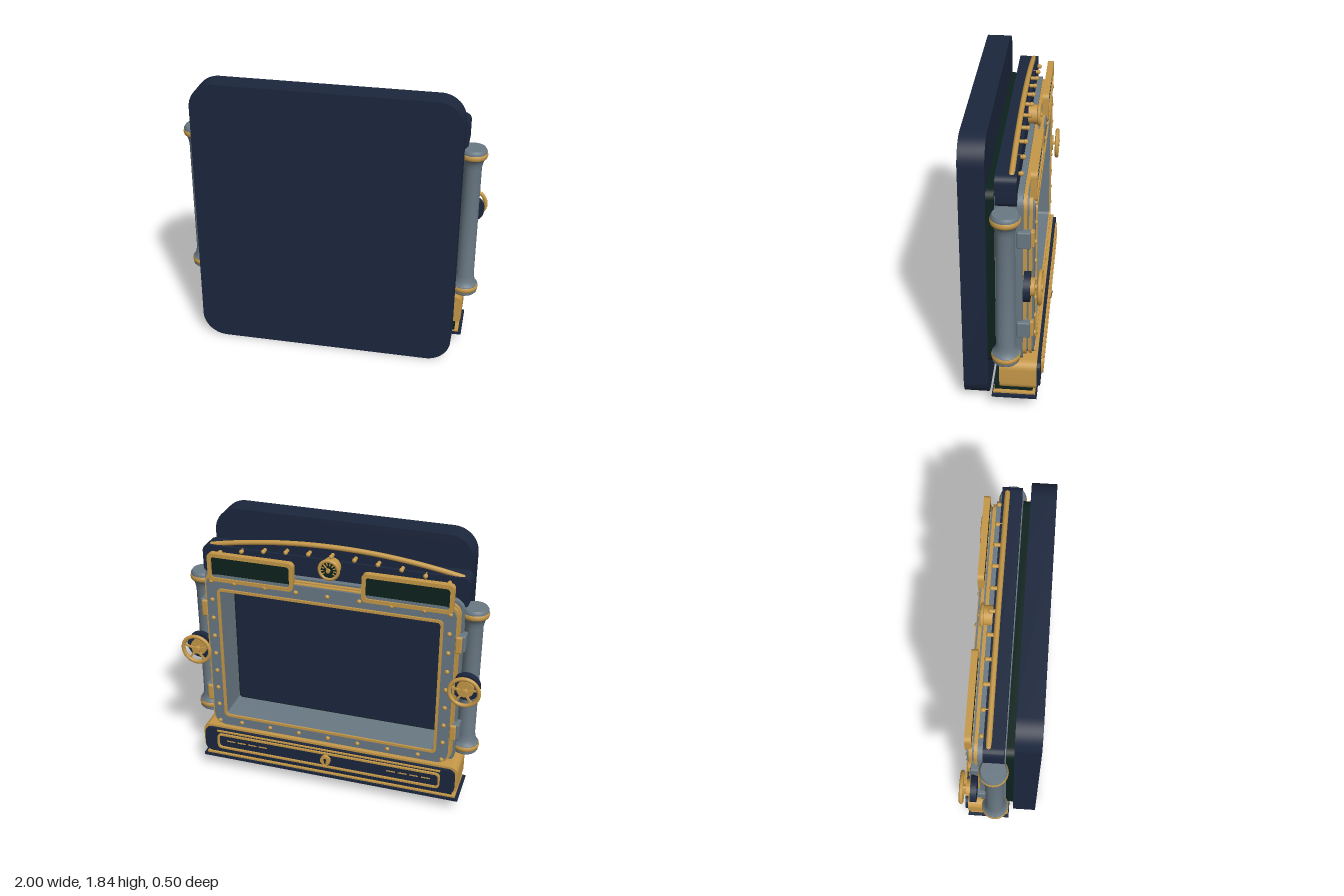
import * as THREE from 'three';
import { toCreasedNormals } from 'three/addons/utils/BufferGeometryUtils.js';
import { RoundedBoxGeometry } from 'three/addons/geometries/RoundedBoxGeometry.js';

const material = (name, color) => {
  const m = new THREE.MeshStandardMaterial({ color });
  m.name = name;
  return m;
};

// Rounded rectangle centred on x = cx
function roundedRect(Type, cx, w, y0, y1, r) {
  const s = new Type(), a = cx - w / 2, b = cx + w / 2;
  s.moveTo(a + r, y0);
  s.lineTo(b - r, y0);
  s.absarc(b - r, y0 + r, r, -Math.PI / 2, 0);
  s.lineTo(b, y1 - r);
  s.absarc(b - r, y1 - r, r, 0, Math.PI / 2);
  s.lineTo(a + r, y1);
  s.absarc(a + r, y1 - r, r, Math.PI / 2, Math.PI);
  s.lineTo(a, y0 + r);
  s.absarc(a + r, y0 + r, r, Math.PI, Math.PI * 1.5);
  return s;
}

export function createModel() {
  const root = new THREE.Group();
  const navy = material('navy', 0x1c273d);
  const gold = material('brass', 0xc59848);
  const gray = material('steel', 0x6a7984);
  const green = material('darkGreen', 0x0d221d);

  const add = (name, geo, mat, x = 0, y = 0, z = 0, parent = root) => {
    const m = new THREE.Mesh(geo, mat);
    m.name = name;
    m.position.set(x, y, z);
    parent.add(m);
    return m;
  };
  const extrude = (shape, depth) => toCreasedNormals(
    new THREE.ExtrudeGeometry(shape, { depth, bevelEnabled: false, curveSegments: 10 }), 0.6);

  // Plate between two depths; hole = [width, y0, y1, radius]
  const plate = (name, mat, w, y0, y1, r, z0, z1, hole, cx = 0) => {
    const s = roundedRect(THREE.Shape, cx, w, y0, y1, r);
    if (hole) s.holes.push(roundedRect(THREE.Path, cx, ...hole));
    return add(name, extrude(s, z1 - z0), mat, 0, 0, z0);
  };
  const box = (name, mat, w, h, d, x, y, z, parent) =>
    add(name, new THREE.BoxGeometry(w, h, d), mat, x, y, z, parent);
  const disc = (name, mat, r, z0, z1, x, y, parent) =>
    add(name, new THREE.CylinderGeometry(r, r, z1 - z0, 32).rotateX(Math.PI / 2), mat, x, y, (z0 + z1) / 2, parent);
  const rivetGeo = new THREE.SphereGeometry(0.015, 10, 8);
  const rivet = (x, y, z) => add('rivet', rivetGeo, gold, x, y, z);

  // Large slab, green gasket and the pane seen through the window
  plate('slab', navy, 1.69, 0, 1.84, 0.16, 0.1, 0.254);
  plate('gasket', green, 1.68, 0.307, 1.54, 0.06, 0.052, 0.1);
  plate('windowPane', navy, 1.425, 0.457, 1.383, 0.02, 0.046, 0.054);

  // Layered window frame with a steel liner
  const hole = [1.44, 0.45, 1.39, 0.02];
  const wide = [1.48, 0.43, 1.41, 0.03];
  plate('windowLiner', gray, 1.49, 0.425, 1.415, 0.03, -0.179, 0.05, hole);
  plate('frameBody', gray, 1.66, 0.33, 1.52, 0.06, -0.085, 0.05, wide);
  plate('frameFlange', gray, 1.69, 0.33, 1.52, 0.08, -0.115, -0.083, wide);
  plate('frameBandRear', gold, 1.66, 0.355, 1.507, 0.08, -0.137, -0.115, wide);
  plate('frameGroove', gray, 1.63, 0.365, 1.495, 0.075, -0.148, -0.137, wide);
  plate('frameBandFront', gold, 1.65, 0.358, 1.505, 0.08, -0.168, -0.148, wide);
  plate('frameFace', gray, 1.62, 0.362, 1.5, 0.08, -0.18, -0.168, wide);
  plate('windowTrim', gold, 1.47, 0.435, 1.405, 0.03, -0.19, -0.178, [1.435, 0.452, 1.388, 0.02]);
  for (let i = 0; i < 9; i++)
    for (const s of [-1, 1]) rivet(s * 0.773, 0.39 + i * 0.1325, -0.18);
  for (let i = 0; i < 7; i++)
    for (const y of [0.397, 1.452]) rivet(-0.615 + i * 0.205, y, -0.18);

  // Crest with arched rail and rivets
  plate('crest', navy, 1.73, 1.452, 1.65, 0.045, -0.08, 0.044);
  const arcY = (x) => 1.728 - 0.085 * (x / 0.81) ** 2;
  const arch = [];
  for (let i = 0; i <= 24; i++) {
    const x = -0.81 + (i * 1.62) / 24;
    arch.push(new THREE.Vector3(x, arcY(x), -0.048));
  }
  add('archRail', new THREE.TubeGeometry(new THREE.CatmullRomCurve3(arch), 48, 0.017, 8), gold);
  for (const p of [arch[0], arch[24]]) add('railEnd', new THREE.SphereGeometry(0.017, 10, 8), gold, p.x, p.y, p.z);
  const fill = new THREE.Shape([new THREE.Vector2(0.81, 1.6), ...arch.map((p) => new THREE.Vector2(p.x, p.y)).reverse(), new THREE.Vector2(-0.81, 1.6)]);
  add('archPlate', extrude(fill, 0.02), navy, 0, 0, -0.06);
  for (let i = -5; i <= 5; i++) {
    const x = i * 0.148, y = arcY(x) - 0.044;
    disc('crestStud', gold, 0.012, -0.098, -0.058, x, y);
    rivet(x, y, -0.096);
  }

  // Pressure gauge
  const gy = 1.618;
  disc('gaugeBody', gold, 0.06, -0.145, -0.08, 0, gy);
  add('gaugeRim', new THREE.TorusGeometry(0.06, 0.012, 8, 32), gold, 0, gy, -0.145);
  disc('gaugeFace', green, 0.052, -0.15, -0.142, 0, gy);
  for (let i = 0; i < 10; i++) {
    const a = -0.6 + (i * (Math.PI + 1.2)) / 9;
    box('gaugeTick', gold, 0.018, 0.007, 0.004, Math.cos(a) * 0.04, gy + Math.sin(a) * 0.04, -0.151).rotation.z = a;
  }
  box('gaugeNeedle', gold, 0.008, 0.05, 0.005, 0.012, gy + 0.014, -0.153).rotation.z = -0.7;
  disc('gaugePin', gold, 0.013, -0.165, -0.145, 0, gy);

  const pillar = new THREE.LatheGeometry([
    [0, 0], [0.078, 0], [0.084, 0.008], [0.084, 0.06], [0.074, 0.07], [0.064, 0.095], [0.058, 0.13],
    [0.057, 0.915], [0.064, 0.95], [0.074, 0.975], [0.084, 0.985], [0.084, 1.03], [0.074, 1.045], [0, 1.045],
  ].map((p) => new THREE.Vector2(...p)), 32);
  const ring = new THREE.LatheGeometry([
    [0.08, -0.018], [0.086, -0.016], [0.09, 0], [0.086, 0.016], [0.08, 0.018],
  ].map((p) => new THREE.Vector2(...p)), 32);

  for (const s of [-1, 1]) {
    // Name panels
    plate('panelFrame', gold, 0.57, 1.455, 1.645, 0.03, -0.19, -0.15, [0.52, 1.48, 1.62, 0.02], s * 0.505);
    plate('panelFace', green, 0.53, 1.475, 1.625, 0.02, -0.178, -0.152, null, s * 0.505);

    // Side pillars
    add('pillar', toCreasedNormals(pillar, 0.6), gray, s * 0.895, 0.4, -0.018);
    for (const y of [0.44, 1.402]) add('pillarRing', ring, gold, s * 0.895, y, -0.018);

    // Hinges
    for (const y of [0.603, 1.245]) {
      add('hinge', new RoundedBoxGeometry(0.07, 0.11, 0.08, 2, 0.008), gray, s * 0.835, y, -0.12);
      add('hingeLeaf', new RoundedBoxGeometry(0.04, 0.11, 0.025, 2, 0.008), gold, s * 0.832, y, -0.168);
    }

    // Handwheels
    const wheel = new THREE.Group();
    wheel.name = 'handwheel';
    wheel.position.set(s * 0.893, 0.95, 0);
    root.add(wheel);
    disc('wheelBase', navy, 0.09, -0.165, -0.125, 0, 0, wheel);
    disc('wheelCollar', gold, 0.055, -0.19, -0.165, 0, 0, wheel);
    disc('wheelShaft', gold, 0.014, -0.23, -0.19, 0, 0, wheel);
    disc('wheelHub', gold, 0.024, -0.238, -0.21, 0, 0, wheel);
    add('wheelRim', new THREE.TorusGeometry(0.094, 0.013, 10, 36), gold, 0, 0, -0.22, wheel);
    for (let i = 0; i < 5; i++) {
      const a = Math.PI / 2 + (i * Math.PI * 2) / 5;
      box('wheelSpoke', gold, 0.09, 0.013, 0.011, Math.cos(a) * 0.05, Math.sin(a) * 0.05, -0.22, wheel).rotation.z = a;
    }
    // Vent dashes on the drawer
    for (let i = 0; i < 4; i++) box('drawerDash', gold, 0.06, 0.007, 0.006, s * (0.45 + i * 0.078), 0.255, -0.227);
  }

  // Drawer box
  plate('drawerBox', gold, 1.78, 0.15, 0.358, 0.05, -0.205, 0.025);
  plate('drawerFront', navy, 1.75, 0.16, 0.343, 0.045, -0.226, -0.203);
  plate('drawerTrim', gold, 1.56, 0.195, 0.312, 0.03, -0.24, -0.222, [1.535, 0.207, 0.3, 0.022]);
  box('drawerBead', gold, 1.56, 0.009, 0.014, 0, 0.332, -0.231);
  disc('lockPlate', gold, 0.035, -0.247, -0.222, 0, 0.255);
  disc('keyhole', green, 0.01, -0.25, -0.24, 0, 0.262);
  box('keySlot', green, 0.009, 0.026, 0.009, 0, 0.248, -0.2455);

  // Plinth
  box('plinthCore', green, 1.71, 0.05, 0.24, 0, 0.14, -0.06);
  box('plinthTrim', gold, 1.76, 0.012, 0.262, 0, 0.116, -0.066);
  box('plinthPlate', navy, 1.8, 0.018, 0.28, 0, 0.102, -0.068);

  return root;
}
